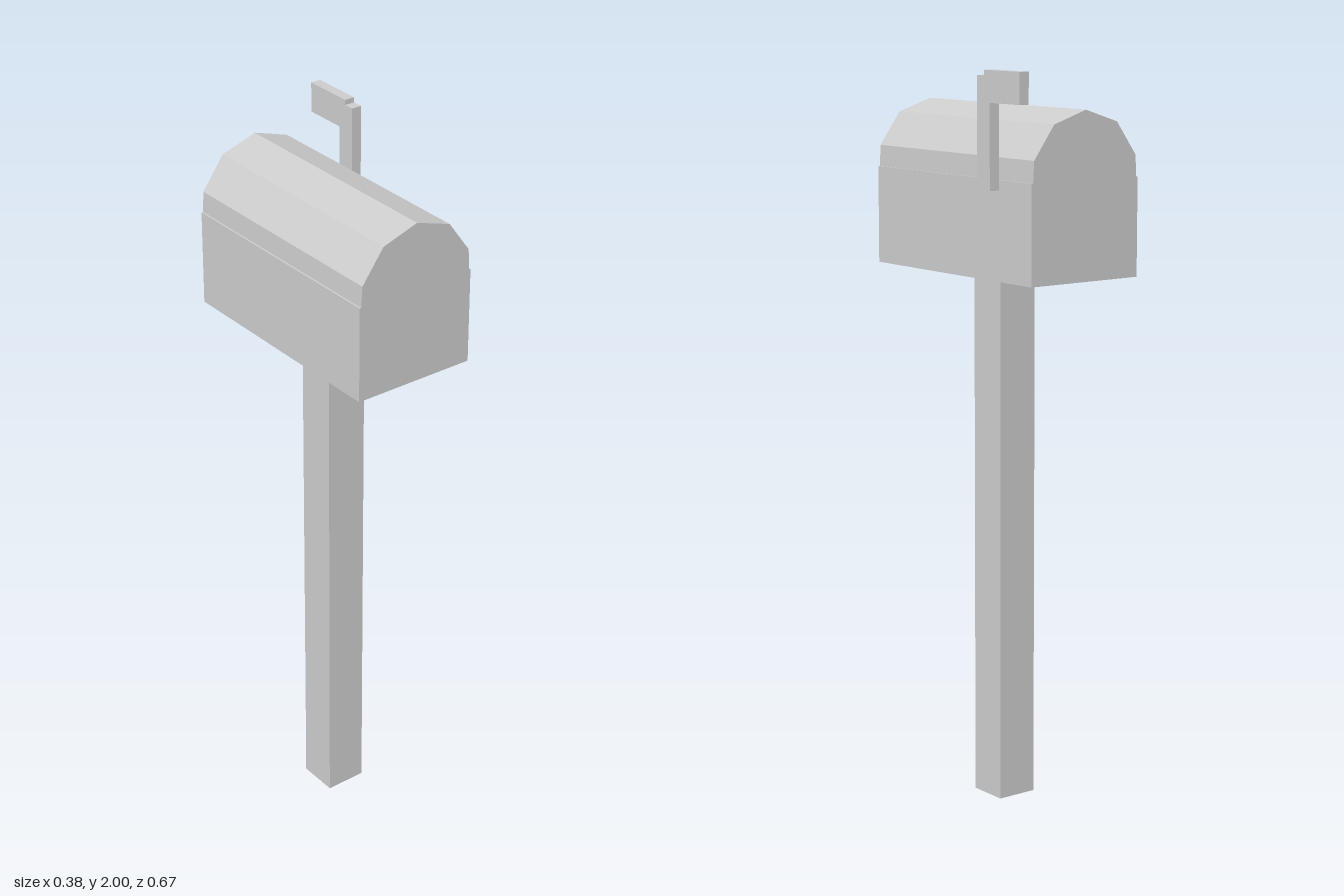
import * as THREE from 'three';

export function createModel() {
  const model = new THREE.Group();
  model.name = 'mailbox';
  const grey = new THREE.MeshStandardMaterial({ color: 0xcccccc });
  grey.name = 'plain grey';
  const axisX = -0.015;

  function add(name, geometry, x, y, z) {
    const mesh = new THREE.Mesh(geometry, grey);
    mesh.name = name;
    mesh.position.set(x, y, z);
    model.add(mesh);
  }

  // Square post
  add('post', new THREE.BoxGeometry(0.116, 1.46, 0.114), axisX, 0.73, 0.001);

  // Box with straight walls, a small ledge and a faceted arched roof
  const length = 0.673, halfWidth = 0.175, wallTop = 1.722;
  const radius = 0.1755, arcCentre = 1.7245, ledge = 0.17;
  const outline = new THREE.Shape();
  outline.moveTo(-halfWidth, 1.46);
  outline.lineTo(halfWidth, 1.46);
  outline.lineTo(halfWidth, wallTop);
  outline.lineTo(ledge, wallTop);
  for (let i = -2; i <= 2; i++) {
    const a = -i * Math.PI / 5;
    outline.lineTo(radius * Math.sin(a), arcCentre + radius * Math.cos(a));
  }
  outline.lineTo(-ledge, wallTop);
  outline.lineTo(-halfWidth, wallTop);
  outline.closePath();
  const body = new THREE.ExtrudeGeometry(outline, { depth: length, bevelEnabled: false });
  add('letterBox', body, axisX, 0, -length / 2);

  // Raised signal flag on the left wall: upright arm and rearward banner
  add('flagArm', new THREE.BoxGeometry(0.029, 0.291, 0.053), 0.1745, 1.8405, -0.175);
  add('flagBanner', new THREE.BoxGeometry(0.029, 0.082, 0.146), 0.1745, 1.959, -0.251);

  return model;
}
